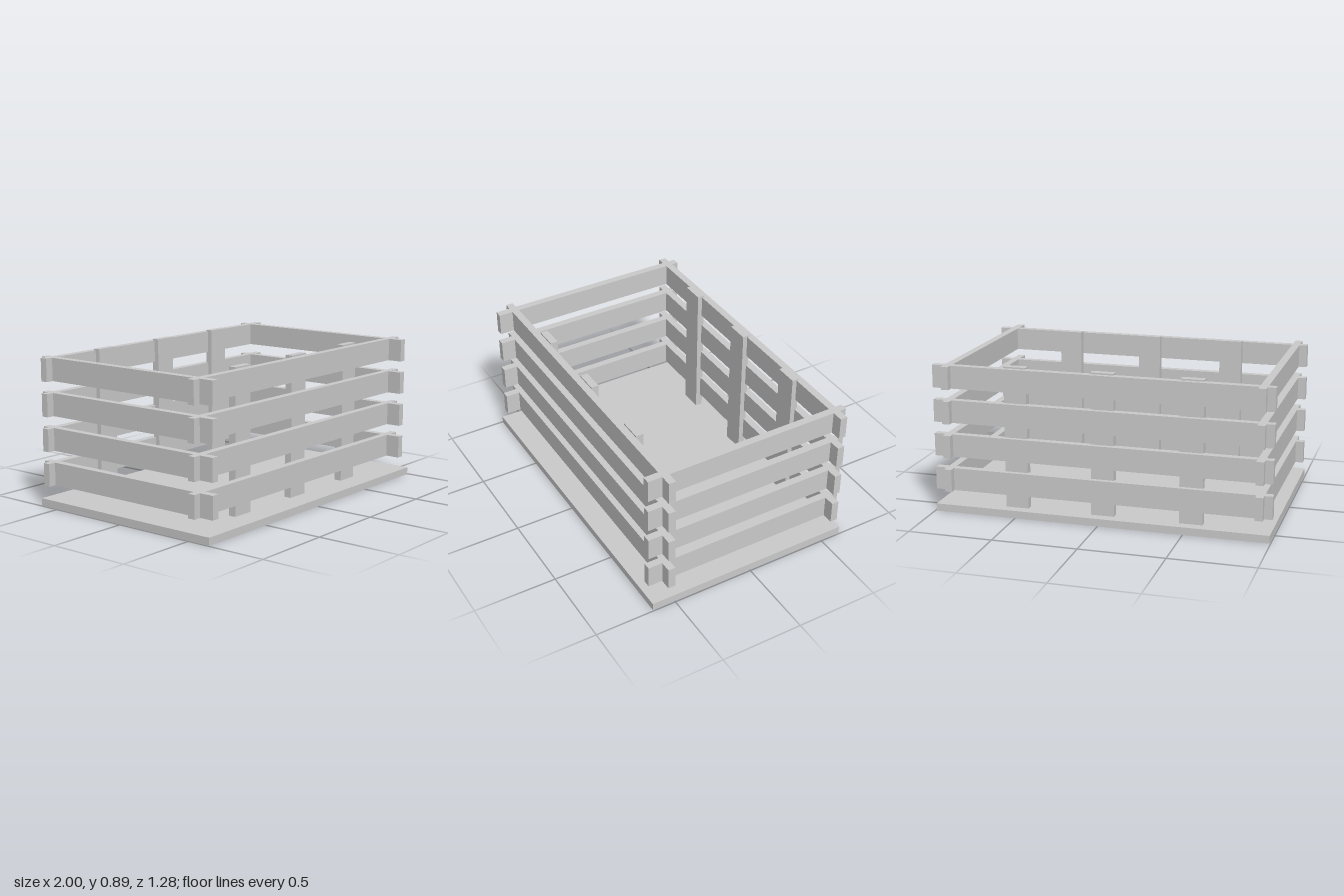
import * as THREE from 'three';

const material = new THREE.MeshStandardMaterial({ color: 0xcccccc, flatShading: true });

// Box given by its extents along each axis
function board(name, [x0, x1], [y0, y1], [z0, z1]) {
  const mesh = new THREE.Mesh(new THREE.BoxGeometry(x1 - x0, y1 - y0, z1 - z0), material);
  mesh.position.set((x0 + x1) / 2, (y0 + y1) / 2, (z0 + z1) / 2);
  mesh.name = name;
  return mesh;
}

// Four slats halved into each other at the corners, as one plan outline
function slatRingGeometry(height) {
  const [x0, x1, z0, z1] = [-1, 1, -0.638, 0.632]; // slat ends
  const [a0, a1, b0, b1] = [-0.953, -0.908, 0.887, 0.932]; // right and left slats
  const [c0, c1, d0, d1] = [-0.598, -0.554, 0.501, 0.545]; // back and front slats
  const points = (list) => list.map(([x, z]) => new THREE.Vector2(x, z));
  const shape = new THREE.Shape(points([
    [a0, z0], [a1, z0], [a1, c0], [b0, c0], [b0, z0], [b1, z0], [b1, c0],
    [x1, c0], [x1, c1], [b1, c1], [b1, d0], [x1, d0], [x1, d1], [b1, d1],
    [b1, z1], [b0, z1], [b0, d1], [a1, d1], [a1, z1], [a0, z1], [a0, d1],
    [x0, d1], [x0, d0], [a0, d0], [a0, c1], [x0, c1], [x0, c0], [a0, c0],
  ]));
  shape.holes.push(new THREE.Path(points([[a1, c1], [a1, d0], [b0, d0], [b0, c1]])));
  const geometry = new THREE.ExtrudeGeometry(shape, { depth: height, bevelEnabled: false });
  return geometry.rotateX(Math.PI / 2); // the top lies at y = 0
}

export function createModel() {
  const crate = new THREE.Group();
  crate.name = 'slattedCrate';

  // Floor
  crate.add(board('floorPanel', [-0.994, 0.991], [0, 0.045], [-0.63, 0.64]));

  // Four tiers of interlocked slats
  const ring = slatRingGeometry(0.135);
  for (let i = 0; i < 4; i++) {
    const tier = new THREE.Mesh(ring, material);
    tier.name = `slatTier${i + 1}`;
    tier.position.y = 0.262 + i * 0.205;
    crate.add(tier);
  }

  // Upright battens inside the front and back walls
  [-0.6, -0.081, 0.438].forEach((x, i) => {
    crate.add(board(`frontBatten${i + 1}`, [x, x + 0.136], [0.045, 0.886], [0.456, 0.501]));
    crate.add(board(`backBatten${i + 1}`, [x, x + 0.136], [0.045, 0.886], [-0.569, -0.525]));
  });

  return crate;
}
